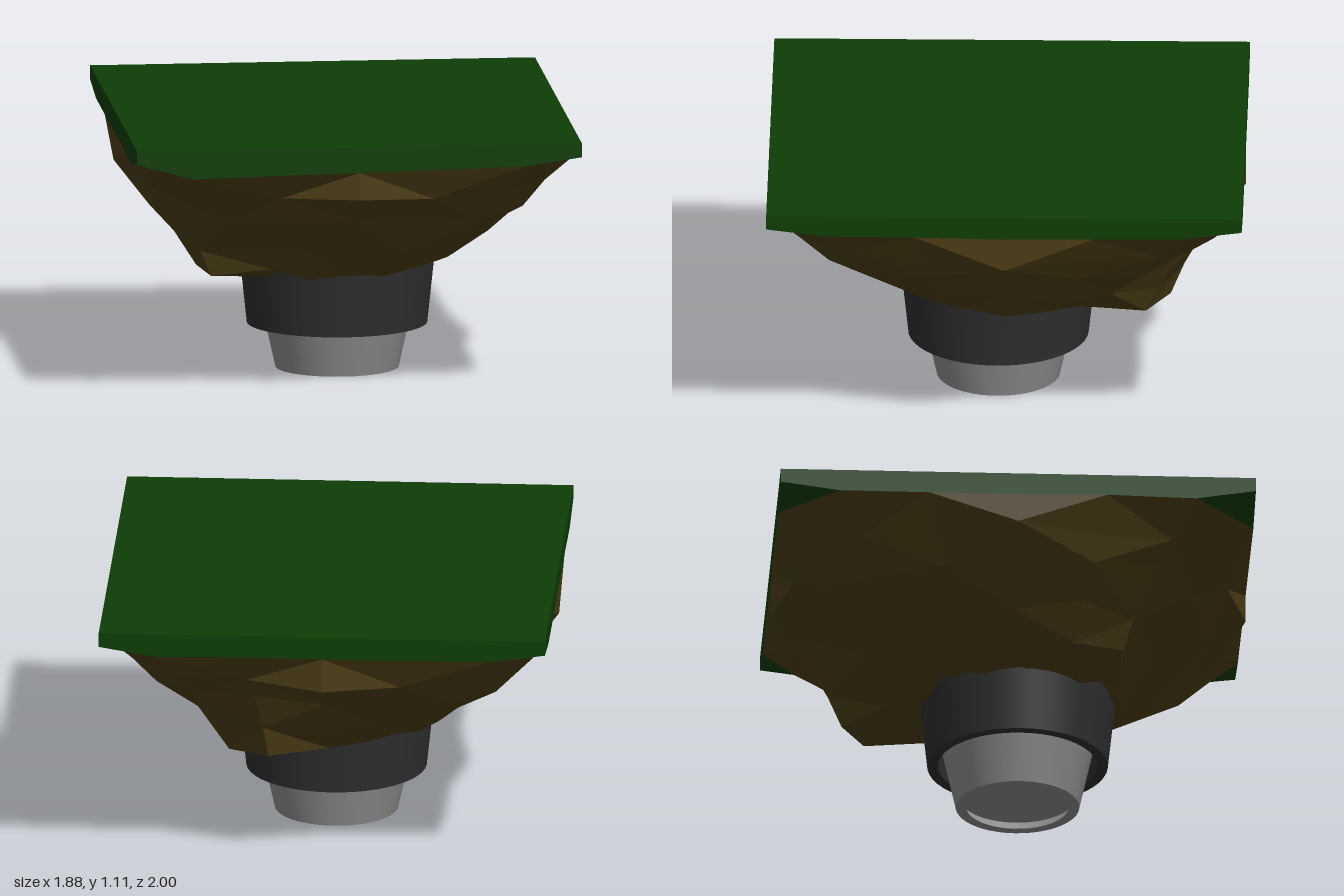
import * as THREE from 'three';

const HX = 0.94, HZ = 1, AXIS_Z = 0.04; // slab half sizes, engine axis
const STEPS = [-0.75, -0.375, 0, 0.375, 0.75];

// point on the rectangular rim: side 0 front, 1 left (+x), 2 back, 3 right
function rim(side, t, y) {
  const [x, z] = [[t, 1], [1, -t], [-t, -1], [-1, t]][side];
  return new THREE.Vector3(x * HX, y, z * HZ);
}

// repeatable jitter in -1..1
function jitter(a, b) {
  const s = Math.sin(a * 12.9898 + b * 78.233) * 43758.5453;
  return 2 * (s - Math.floor(s)) - 1;
}

function facetMesh(name, points, color) {
  const geometry = new THREE.BufferGeometry().setFromPoints(points);
  geometry.computeVertexNormals();
  const mesh = new THREE.Mesh(geometry, new THREE.MeshStandardMaterial({ color, flatShading: true }));
  mesh.name = name;
  return mesh;
}

// quads between an upper and a lower closed ring, with alternating diagonals
function loft(upper, lower, row = 0) {
  const out = [];
  upper.forEach((a, i) => {
    const j = (i + 1) % upper.length, b = upper[j], c = lower[i], d = lower[j];
    if ((i + row) % 2) out.push(c, d, b, c, b, a);
    else out.push(c, d, a, d, b, a);
  });
  return out;
}

// each straight section gets its own lathe so the edges stay sharp
function lathe(name, profile, color) {
  const group = new THREE.Group();
  group.name = name;
  const material = new THREE.MeshStandardMaterial({ color, side: THREE.DoubleSide });
  for (let i = 0; i < profile.length - 1; i++) {
    const pts = [profile[i], profile[i + 1]].map(p => new THREE.Vector2(...p));
    group.add(new THREE.Mesh(new THREE.LatheGeometry(pts, 48), material));
  }
  group.position.z = AXIS_Z;
  return group;
}

// grass slab: flat top, rim walls with an uneven lower edge, clipped corners
function grassSlab(edge) {
  const top = [], bottom = [];
  for (let s = 0; s < 4; s++) {
    top.push(rim(s, -1, 1.11), ...STEPS.map(t => rim(s, t, 1.11)));
    bottom.push(rim(s, -1, 1.05), ...edge.slice(s * 5, s * 5 + 5));
  }
  const tris = loft(top, bottom);
  const c = [0, 1, 2, 3].map(s => rim(s, -1, 1.11));
  tris.push(c[0], c[1], c[2], c[0], c[2], c[3]);
  for (let s = 0; s < 4; s++) {
    tris.push(edge[(s * 5 + 19) % 20], edge[s * 5], bottom[s * 6]);
  }
  return facetMesh('grassSlab', tris, 0x0d3d05);
}

// rocky underside: rings that shrink from the rim to the engine collar
function earth(edge) {
  const levels = [
    // height, scale, roundness, radius jitter, height jitter, bulge
    [0.88, 1.0, 0.0, 0.0, 0.015, 0],
    [0.76, 0.83, 0.5, 0.03, 0.03, 0.03],
    [0.61, 0.66, 0.85, 0.03, 0.03, 0.12],
    [0.47, 0.48, 1.0, 0.02, 0.025, 0.29],
    [0.455, 0.39, 1.0, 0.0, 0.035, 0],
  ];
  // the first ring touches the rim plane mid-side and draws in at the corners
  const shelf = [0.87, 0.91, 1, 0.92, 0.87];
  const lumps = [Math.atan2(0.42, -0.63), Math.atan2(-0.67, 0.35)];
  const rings = [edge];
  levels.forEach(([y, scale, round, jr, jy, bulge], k) => {
    rings.push(edge.map((p, i) => {
      const a = Math.atan2(p.z, p.x);
      let r = scale + jr * jitter(i, k);
      if (k === 0) r *= shelf[i % 5];
      for (const l of lumps) {
        const d = Math.atan2(Math.sin(a - l), Math.cos(a - l));
        r += bulge * Math.exp(-d * d * 9);
      }
      const x = THREE.MathUtils.lerp(p.x, Math.cos(a), round) * r;
      const z = THREE.MathUtils.lerp(p.z, Math.sin(a), round) * r;
      return new THREE.Vector3(x, y + jy * jitter(k + 7, i), z + (k === 4 ? AXIS_Z : 0));
    }));
  });
  const tris = [];
  for (let k = 0; k < rings.length - 1; k++) tris.push(...loft(rings[k], rings[k + 1], k));
  return facetMesh('earth', tris, 0x4b3d15);
}

export function createModel() {
  const model = new THREE.Group();
  model.name = 'floatingIsland';

  // shared edge where the slab meets the earth
  const edge = [];
  for (let s = 0; s < 4; s++) {
    STEPS.forEach((t, i) => edge.push(rim(s, t, s === 0 ? 1 + 0.02 * t : 1.015 + 0.005 * jitter(s, i))));
  }
  model.add(grassSlab(edge), earth(edge));

  // engine collar, open below, with the flared hollow nozzle inside it
  model.add(lathe('engineCollar', [[0.34, 0.34], [0.335, 0.19], [0.38, 0.19], [0.415, 0.52], [0, 0.52]], 0x2e2e2e));
  model.add(lathe('nozzle', [[0.335, 0.34], [0.26, 0], [0.215, 0], [0.24, 0.04], [0, 0.04]], 0x8c8c8c));
  return model;
}
